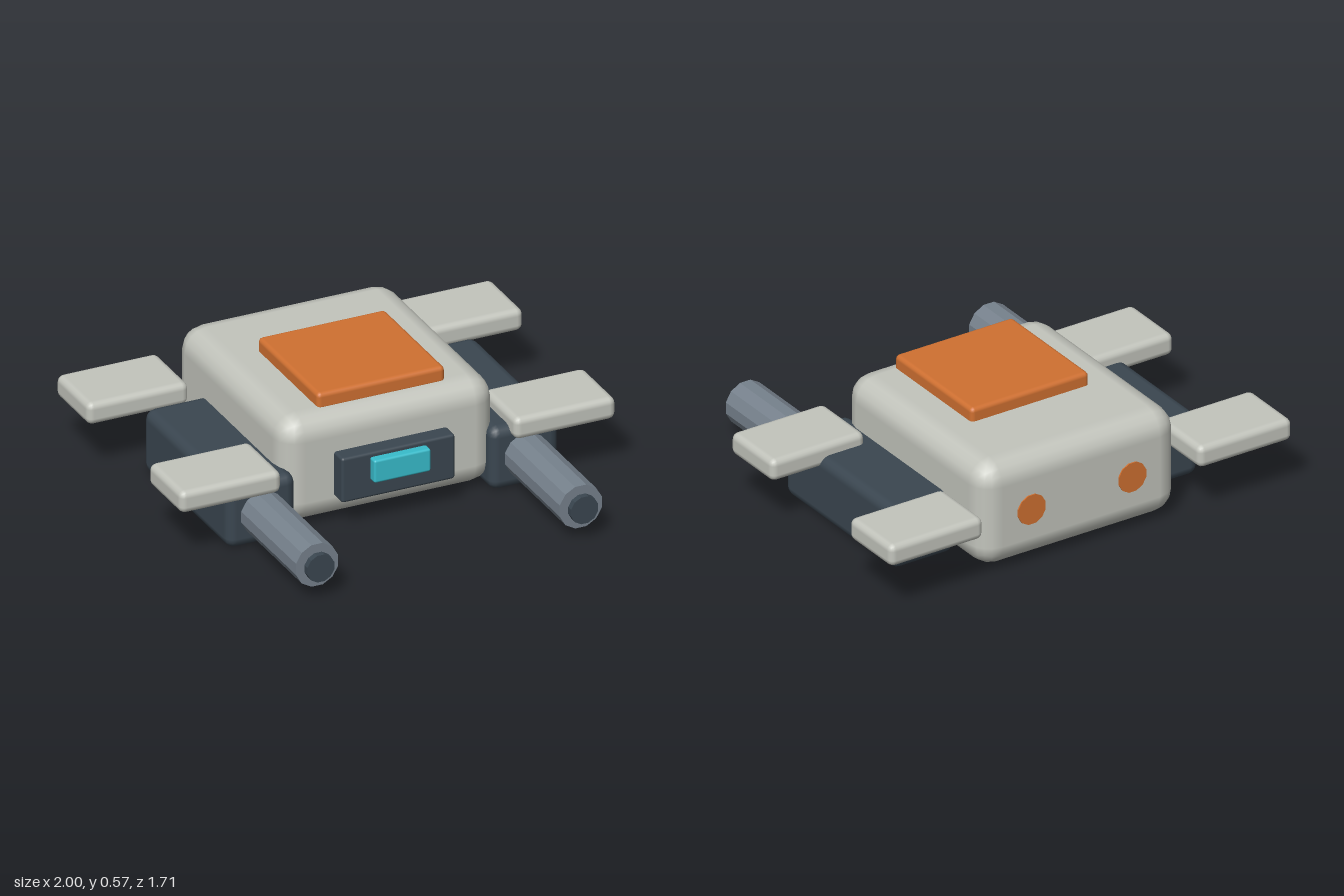
import * as THREE from 'three';
import { RoundedBoxGeometry } from 'three/addons/geometries/RoundedBoxGeometry.js';

const material = (name, color) => {
  const m = new THREE.MeshStandardMaterial({ color });
  m.name = name;
  return m;
};

export function createModel() {
  const group = new THREE.Group();
  const hull = material('pale grey hull', 0xc2c4bc);
  const dark = material('dark slate', 0x3a4650);
  const steel = material('steel grey', 0x76818c);
  const orange = material('orange', 0xcf7031);
  const teal = material('teal glass', 0x38bccb);

  const add = (name, geometry, mat, x, y, z) => {
    const mesh = new THREE.Mesh(geometry, mat);
    mesh.name = name;
    mesh.position.set(x, y, z);
    group.add(mesh);
    return mesh;
  };

  // Rounded box given by its extents [min, max] on each axis
  const box = (name, mat, [x0, x1], [y0, y1], [z0, z1], radius, segments = 2) =>
    add(name, new RoundedBoxGeometry(x1 - x0, y1 - y0, z1 - z0, segments, radius), mat,
      (x0 + x1) / 2, (y0 + y1) / 2, (z0 + z1) / 2);

  // Faceted cylinder lying along z
  const rod = (name, mat, radius, x, y, [z0, z1]) => {
    const geometry = new THREE.CylinderGeometry(radius, radius, z1 - z0, 12).toNonIndexed();
    geometry.rotateY(Math.PI / 12).rotateX(Math.PI / 2);
    geometry.computeVertexNormals();
    return add(name, geometry, mat, x, y, (z0 + z1) / 2);
  };

  // Central body, roof hatch and front visor
  box('body', hull, [-0.495, 0.495], [0.02, 0.51], [-0.78, 0.265], 0.105);
  box('roofHatch', orange, [-0.293, 0.293], [0.49, 0.57], [-0.4, 0.177], 0.02);
  box('visorFrame', dark, [-0.26, 0.26], [0.13, 0.337], [0.22, 0.34], 0.012);
  box('visorGlass', teal, [-0.13, 0.13], [0.212, 0.317], [0.32, 0.38], 0.01);

  for (const [label, s] of [['left', 1], ['right', -1]]) {
    const span = (a, b) => (s > 0 ? [a, b] : [-b, -a]);

    // Side pod with barrel and dark muzzle
    box(label + 'Pod', dark, span(0.445, 0.762), [0, 0.29], [-0.52, 0.297], 0.045);
    rod(label + 'Barrel', steel, 0.1, s * 0.605, 0.147, [0.25, 0.82]);
    rod(label + 'Muzzle', dark, 0.064, s * 0.605, 0.147, [0.829, 0.857]);

    // Front and rear fins
    box(label + 'FrontFin', hull, span(0.535, 1), [0.241, 0.343], [0.027, 0.342], 0.03);
    box(label + 'RearFin', hull, span(0.535, 1), [0.241, 0.343], [-0.857, -0.542], 0.03);

    // Round rear light
    rod(label + 'RearLight', orange, 0.07, s * 0.25, 0.262, [-0.786, -0.778]);
  }
  return group;
}
